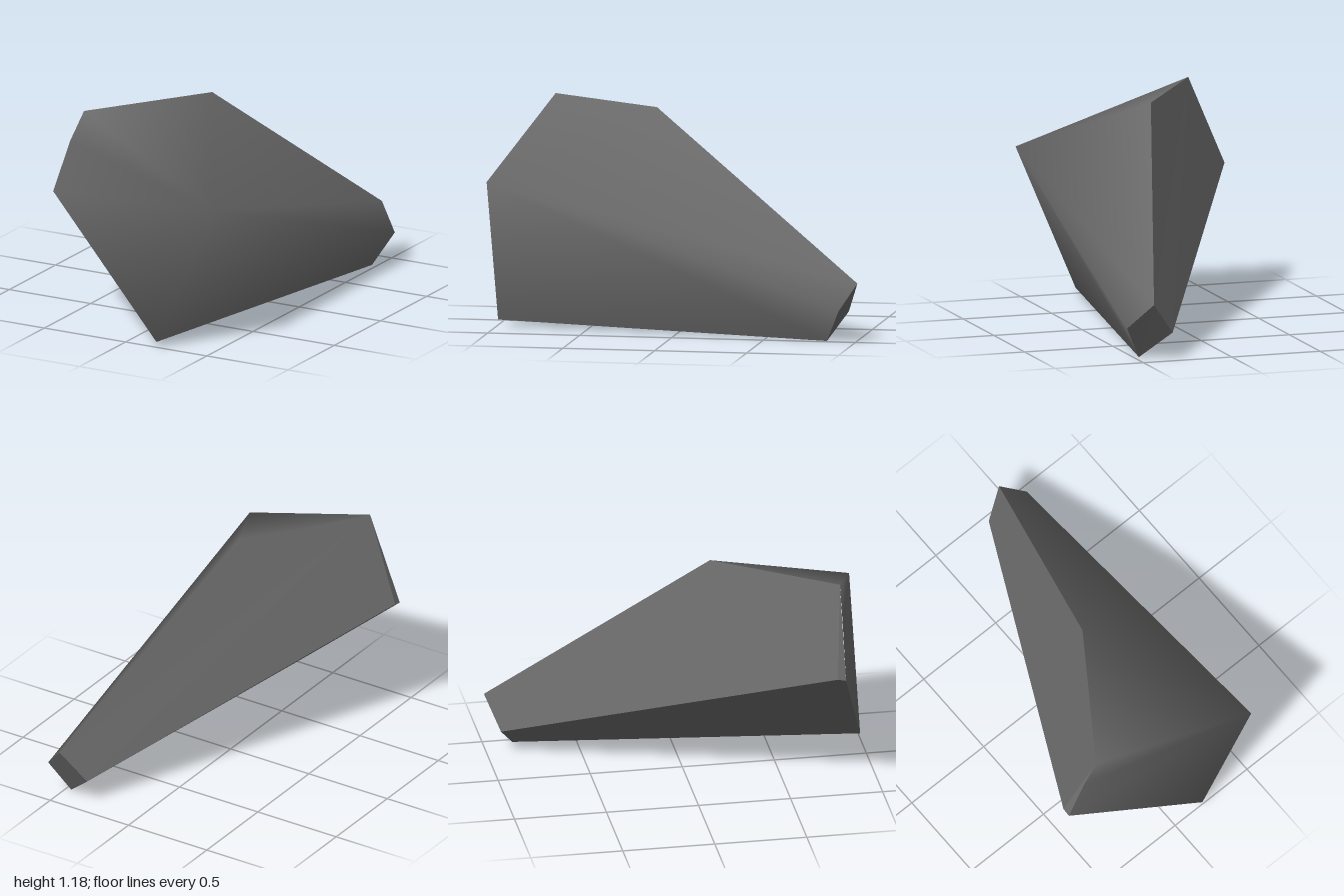
import * as THREE from 'three';

// Corner points of the rock shard
const P = {
  ridgeFront: [-0.375, 1.18, 0.79],
  ridgeBack: [0.055, 1.18, 0.16],
  brow: [0.53, 0.82, 1.0],
  toe: [0.19, 0.03, 1.0],
  sideLow: [-0.565, 0.70, 0.79],
  sideLowBack: [-0.565, 0.71, 0.745],
  sideHigh: [-0.46, 1.0, 0.79],
  tailTop: [0.44, 0.31, -1.0],
  tailOuter: [0.565, 0.175, -0.92],
  tailBottom: [0.47, 0.0, -0.84],
  tailInner: [0.31, 0.14, -0.93],
};
const names = Object.keys(P);
const centre = new THREE.Vector3(0.15, 0.55, 0.2);

// Fan each polygon into triangles, turned to face away from the centre
function facets(polygons, smooth) {
  const index = [];
  for (const poly of polygons) {
    for (let i = 1; i < poly.length - 1; i++) {
      const tri = [poly[0], poly[i], poly[i + 1]];
      const [a, b, c] = tri.map((n) => new THREE.Vector3(...P[n]));
      const normal = b.sub(a).cross(c.sub(a));
      if (normal.dot(a.sub(centre)) < 0) tri.reverse();
      index.push(...tri.map((n) => names.indexOf(n)));
    }
  }
  let geometry = new THREE.BufferGeometry();
  geometry.setAttribute('position', new THREE.Float32BufferAttribute(names.flatMap((n) => P[n]), 3));
  geometry.setIndex(index);
  if (!smooth) geometry = geometry.toNonIndexed();
  geometry.computeVertexNormals();
  return geometry;
}

export function createModel() {
  const group = new THREE.Group();
  group.name = 'rockShard';
  const stone = new THREE.MeshStandardMaterial({ color: 0x6a6a6a });
  stone.name = 'grey stone';

  const add = (name, polygons, smooth = false) => {
    const mesh = new THREE.Mesh(facets(polygons, smooth), stone);
    mesh.name = name;
    group.add(mesh);
  };

  // Weathered skin: front, top and outer side flow into each other
  add('weatheredSkin', [
    ['brow', 'ridgeFront', 'sideHigh', 'sideLow', 'toe'],
    ['ridgeFront', 'brow', 'ridgeBack'],
    ['ridgeBack', 'brow', 'tailTop'],
    ['brow', 'tailOuter', 'tailTop'],
    ['brow', 'toe', 'tailBottom', 'tailOuter'],
  ], true);

  // Flat broken faces
  add('cleavedSide', [['ridgeFront', 'ridgeBack', 'tailTop', 'tailInner', 'sideLowBack']]);
  add('chippedEdge', [['ridgeFront', 'sideLowBack', 'sideLow', 'sideHigh']]);
  add('underside', [['toe', 'sideLow', 'sideLowBack', 'tailInner', 'tailBottom']]);
  add('tailEnd', [['tailTop', 'tailOuter', 'tailBottom', 'tailInner']]);

  return group;
}
